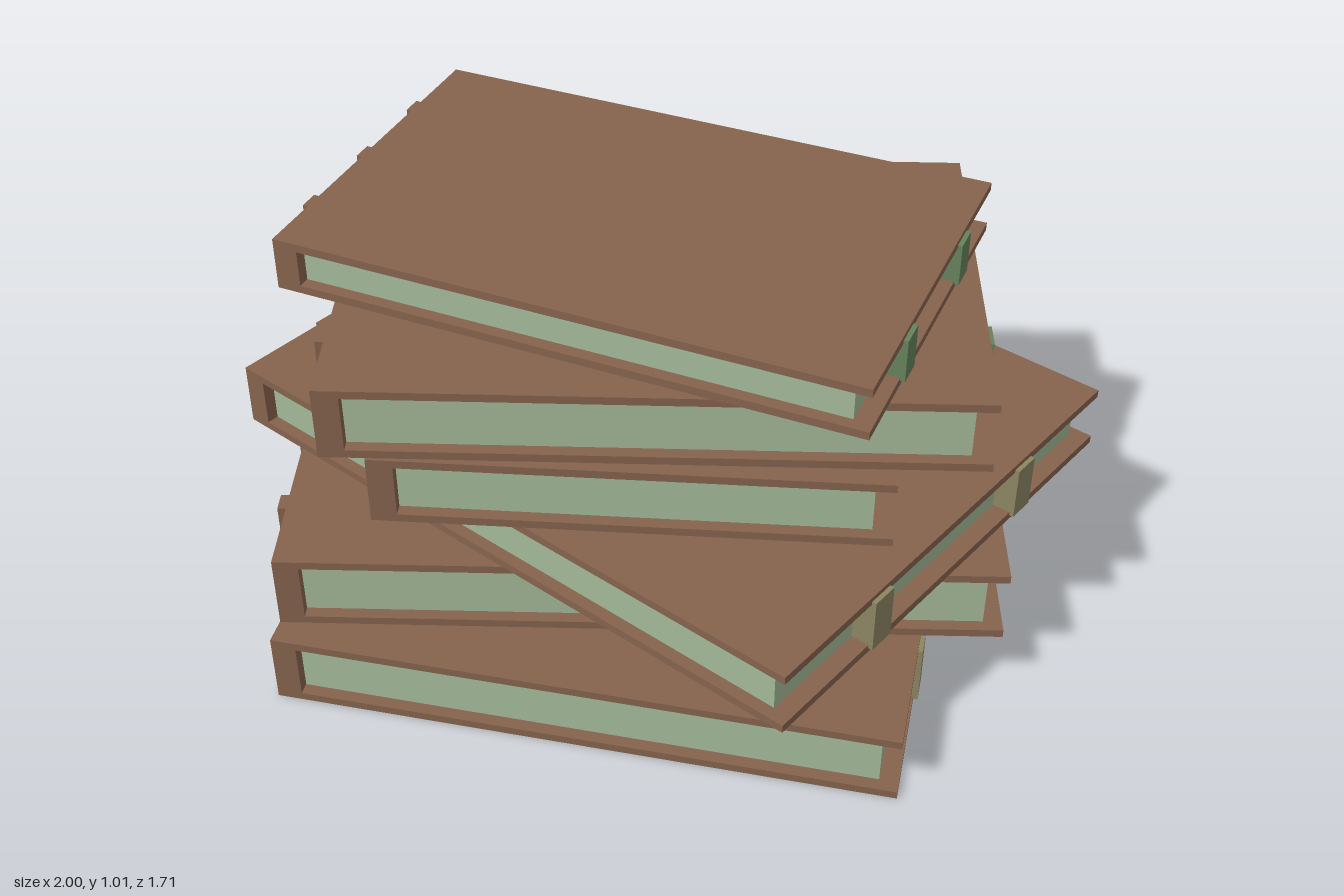
import * as THREE from 'three';

export function createModel() {
  const model = new THREE.Group();
  model.name = 'bookStack';

  const mat = (name, color) => {
    const m = new THREE.MeshStandardMaterial({ color });
    m.name = name;
    return m;
  };
  const leather = mat('brown leather', 0x85634d);
  const paper = mat('pale green paper', 0xa3b998);
  const olive = mat('olive strap', 0x8c8562);
  const green = mat('green strap', 0x66825c);

  const COVER = 0.02, SPINE = 0.06, FORE_INSET = 0.045, SIDE_INSET = 0.03;

  // Adds a box given by its x range, y range, z centre and depth
  function box(parent, name, material, x0, x1, y0, y1, z, depth) {
    const mesh = new THREE.Mesh(new THREE.BoxGeometry(x1 - x0, y1 - y0, depth), material);
    mesh.position.set((x0 + x1) / 2, (y0 + y1) / 2, z);
    mesh.name = name;
    parent.add(mesh);
  }

  // One book: spine on local -x, fore-edge on local +x
  function makeBook(w, h, d, strapMaterial) {
    const book = new THREE.Group();
    const l = -w / 2, r = w / 2;
    box(book, 'bottomCover', leather, l, r, 0, COVER, 0, d);
    box(book, 'topCover', leather, l, r, h - COVER, h, 0, d);
    box(book, 'spine', leather, l, l + SPINE, COVER, h - COVER, 0, d);
    box(book, 'pages', paper, l + SPINE, r - FORE_INSET, COVER, h - COVER, 0, d - 2 * SIDE_INSET);
    // Raised bands across the spine
    for (const k of [-0.28, 0, 0.28])
      box(book, 'spineBand', leather, l - 0.024, l + 0.01, 0.012, h - 0.012, k * d, 0.05);
    // Straps closing the fore-edge
    for (const k of [-0.228, 0.228])
      box(book, 'strap', strapMaterial, r - FORE_INSET - 0.005, r + 0.011, 0.012, h - 0.012, k * d, 0.068);
    return book;
  }

  // Bottom to top: width, depth, base, top, centre x, centre z, turn in degrees, strap
  const books = [
    [1.473, 1.244, 0.0, 0.18, 0.0, 0.098, 11.2, olive],
    [1.689, 1.036, 0.18, 0.368, -0.025, -0.008, 22.1, olive],
    [1.655, 1.262, 0.368, 0.528, 0.026, -0.025, -16.1, olive],
    [1.156, 1.028, 0.528, 0.7, 0.003, 0.047, 19.4, green],
    [1.465, 1.0, 0.7, 0.88, 0.025, 0.02, 21.8, green],
    [1.415, 0.877, 0.88, 1.01, -0.037, 0.003, 0.4, green],
  ];
  books.forEach(([w, d, y0, y1, x, z, turn, strap], i) => {
    const book = makeBook(w, y1 - y0, d, strap);
    book.name = `book${i + 1}`;
    book.position.set(x, y0, z);
    book.rotation.y = THREE.MathUtils.degToRad(turn);
    model.add(book);
  });

  return model;
}
